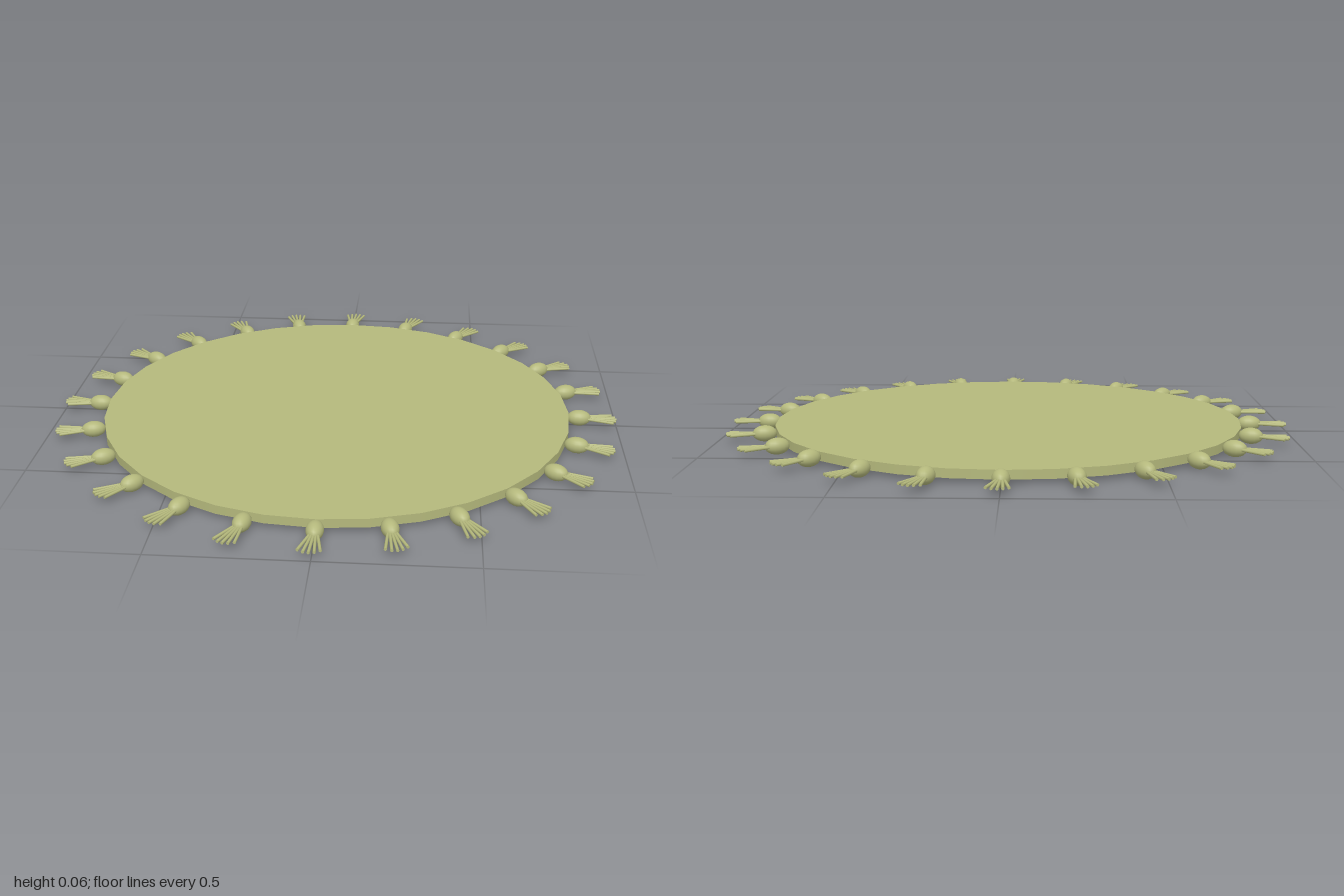
import * as THREE from 'three';

export function createModel() {
  const model = new THREE.Group();
  const material = new THREE.MeshStandardMaterial({ color: 0xb4b87c });
  const midY = 0.028;
  const tasselCount = 24;
  const strandCount = 5;

  // Round mat
  const mat = new THREE.Mesh(new THREE.CylinderGeometry(0.83, 0.83, 0.03, 32), material);
  mat.name = 'mat';
  mat.position.y = midY + 0.001;
  model.add(mat);

  const knotGeometry = new THREE.SphereGeometry(1, 16, 12);
  knotGeometry.scale(0.042, 0.028, 0.028);

  // Thin strand running between two points in the plane of the mat
  function makeStrand(x0, z0, x1, z1) {
    const length = Math.hypot(x1 - x0, z1 - z0);
    const geometry = new THREE.CylinderGeometry(0.005, 0.005, length, 8);
    geometry.rotateZ(-Math.PI / 2);
    const strand = new THREE.Mesh(geometry, material);
    strand.name = 'strand';
    strand.position.set((x0 + x1) / 2, 0, (z0 + z1) / 2);
    strand.rotation.y = -Math.atan2(z1 - z0, x1 - x0);
    return strand;
  }

  // Tassel pointing along +x: a knot with strands fanning out
  function makeTassel() {
    const tassel = new THREE.Group();
    tassel.name = 'tassel';
    const knot = new THREE.Mesh(knotGeometry, material);
    knot.name = 'knot';
    knot.position.x = 0.867;
    tassel.add(knot);
    for (let i = 0; i < strandCount; i++) {
      const t = (i / (strandCount - 1)) * 2 - 1;
      tassel.add(makeStrand(0.885, t * 0.01, 0.999 - 0.014 * t * t, 0.007 + t * 0.034));
    }
    return tassel;
  }

  // Ring of tassels around the rim
  for (let i = 0; i < tasselCount; i++) {
    const tassel = makeTassel();
    tassel.position.y = midY;
    tassel.rotation.y = (i / tasselCount) * Math.PI * 2;
    model.add(tassel);
  }
  return model;
}
